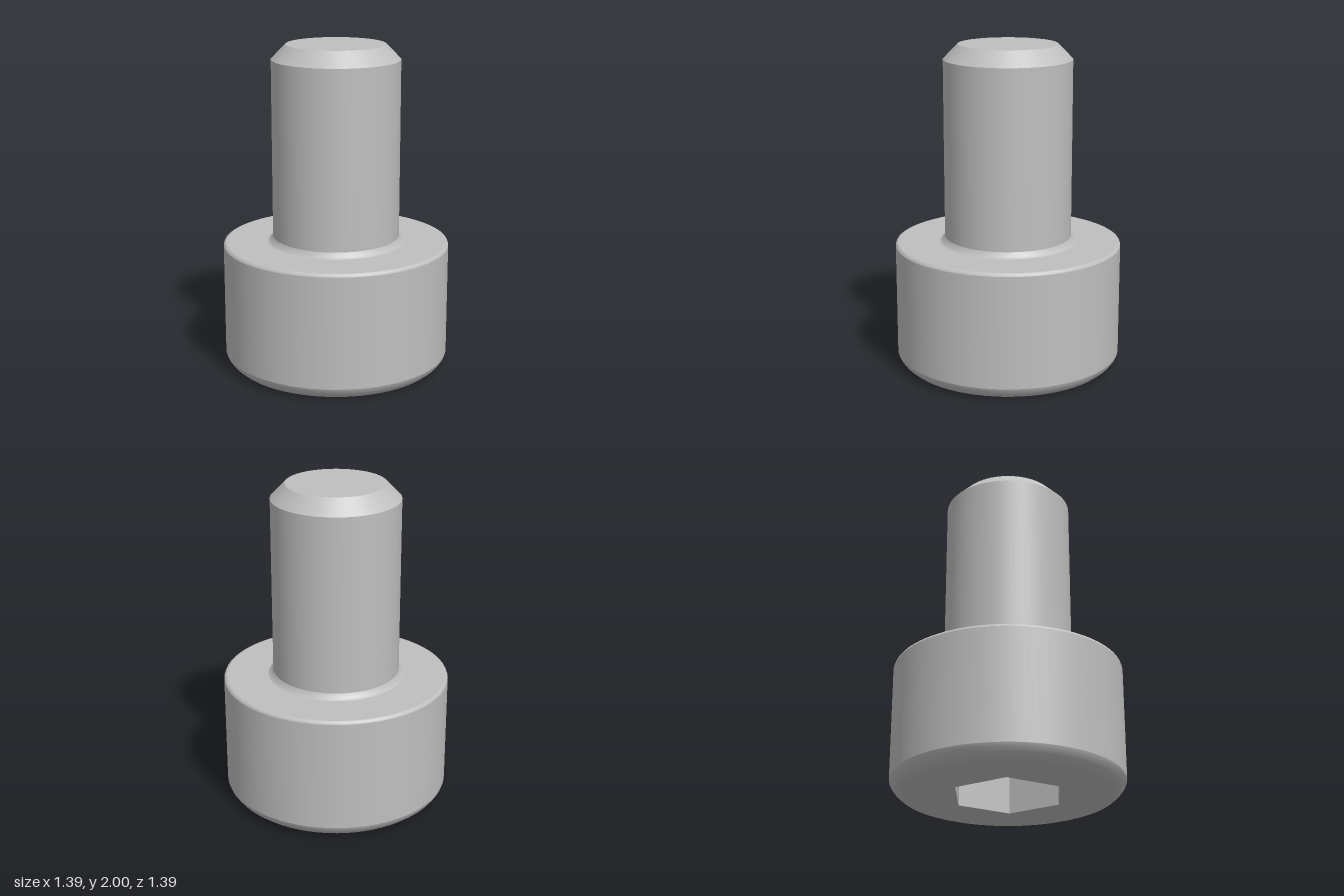
import * as THREE from 'three';

const SIDES = 72;
const HEX_RADIUS = 0.344;
const SOCKET_DEPTH = 0.4;

export function createModel() {
  const steel = new THREE.MeshStandardMaterial({ color: 0xbfbfbf });
  steel.name = 'steel grey';
  const model = new THREE.Group();
  model.name = 'socketScrew';

  const add = (name, geometry, parent) => {
    const mesh = new THREE.Mesh(geometry, steel);
    mesh.name = name;
    parent.add(mesh);
    return mesh;
  };
  // Each turned section has its own normals, so edges between sections stay sharp
  const turned = (name, points, parent) =>
    add(name, new THREE.LatheGeometry(points.map(([r, y]) => new THREE.Vector2(r, y)), SIDES), parent);

  // Head: rounded lower rim, straight side, small upper rounding, flat shoulder
  const head = new THREE.Group();
  head.name = 'head';
  model.add(head);
  turned('headLowerRim', [[0.61, 0], [0.64, 0.01], [0.668, 0.033], [0.688, 0.06], [0.695, 0.08]], head);
  turned('headSide', [[0.695, 0.08], [0.695, 0.767]], head);
  turned('headUpperRim', [[0.695, 0.767], [0.69, 0.78], [0.677, 0.785]], head);
  turned('shoulder', [[0.677, 0.785], [0.42, 0.785]], head);

  // Shank: fillet, straight body, chamfer and flat tip
  const shank = new THREE.Group();
  shank.name = 'shank';
  model.add(shank);
  turned('shankFillet', [[0.42, 0.785], [0.402, 0.796], [0.39, 0.82]], shank);
  turned('shankBody', [[0.39, 0.82], [0.39, 1.91]], shank);
  turned('tipChamfer', [[0.39, 1.91], [0.302, 2]], shank);
  turned('tipFace', [[0.302, 2], [0, 2]], shank);

  // Underside of the head with a hexagonal opening
  const face = new THREE.Shape();
  face.absarc(0, 0, 0.61, 0, Math.PI * 2, false);
  const corners = Array.from({ length: 6 }, (_, i) => {
    const a = Math.PI / 6 + (i * Math.PI) / 3;
    return new THREE.Vector2(HEX_RADIUS * Math.cos(a), HEX_RADIUS * Math.sin(a));
  });
  face.holes.push(new THREE.Path(corners));
  add('headUnderside', new THREE.ShapeGeometry(face, SIDES).rotateX(Math.PI / 2), head);

  // Hex socket: walls mirrored so that they face inward, and a flat floor
  const socket = new THREE.Group();
  socket.name = 'hexSocket';
  head.add(socket);
  const walls = new THREE.CylinderGeometry(HEX_RADIUS, HEX_RADIUS, SOCKET_DEPTH, 6, 1, true)
    .toNonIndexed()
    .scale(-1, 1, 1)
    .translate(0, SOCKET_DEPTH / 2, 0);
  walls.computeVertexNormals();
  add('socketWalls', walls, socket);
  const floor = new THREE.CircleGeometry(HEX_RADIUS, 6, Math.PI / 6).rotateX(Math.PI / 2);
  add('socketFloor', floor.translate(0, SOCKET_DEPTH, 0), socket);

  return model;
}
